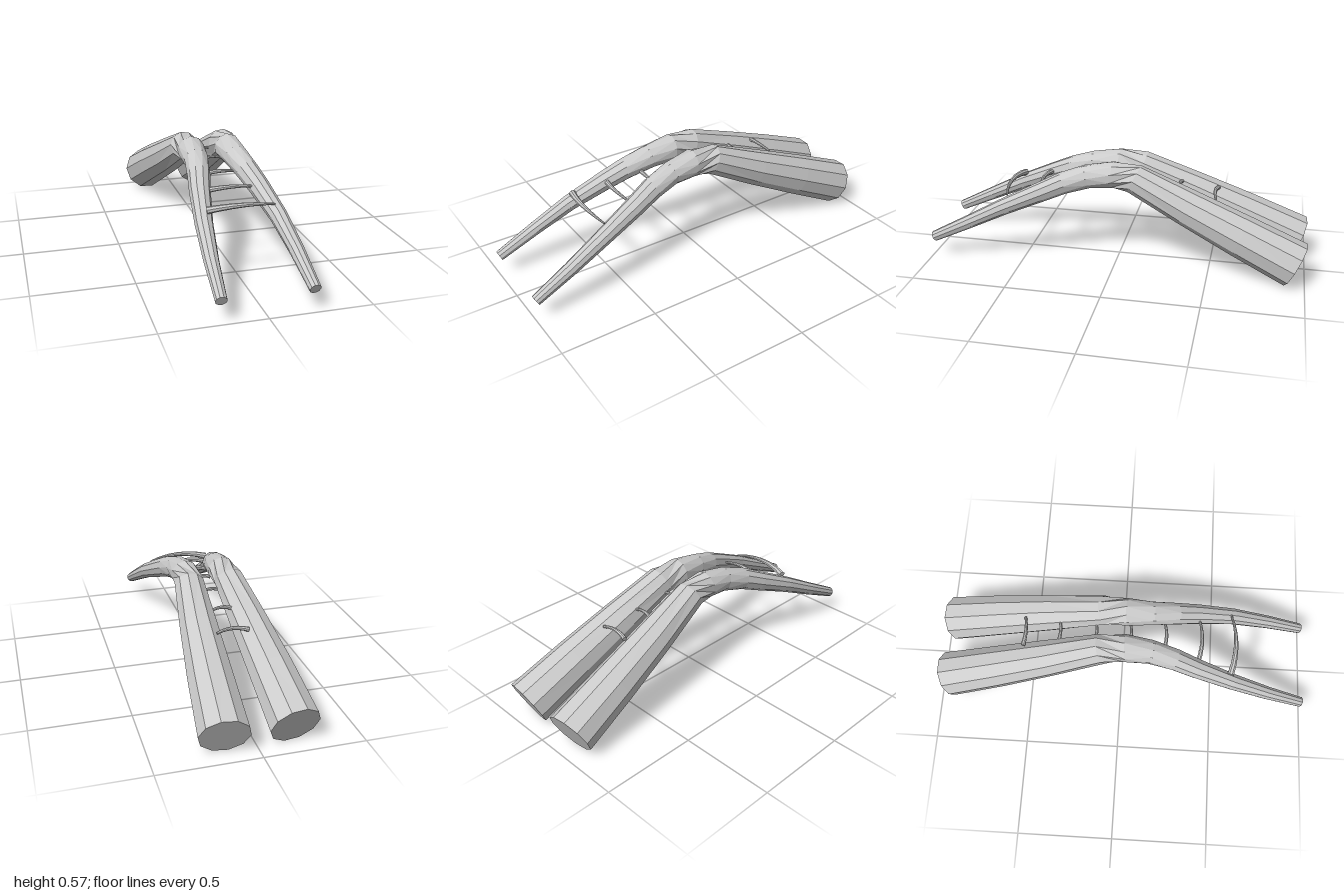
import * as THREE from 'three';

const grey = new THREE.MeshStandardMaterial({ color: 0xcccccc, flatShading: true });

// Skins capped polygon rings: each section is { c: centre, r: radius, spin: degrees, t: optional direction }
function loft(sections, sides, mirrored = false) {
  const pos = [], index = [];
  const up = new THREE.Vector3(0, 1, 0);
  const last = sections.length - 1;
  sections.forEach((s, i) => {
    const t = s.t ? s.t.clone() : sections[Math.min(i + 1, last)].c.clone().sub(sections[Math.max(i - 1, 0)].c);
    t.normalize();
    const u = t.clone().cross(up).normalize();
    const v = u.clone().cross(t);
    for (let j = 0; j < sides; j++) {
      const a = (j / sides) * Math.PI * 2 + THREE.MathUtils.degToRad(s.spin || 0);
      const p = s.c.clone().addScaledVector(u, Math.cos(a) * s.r).addScaledVector(v, Math.sin(a) * s.r);
      pos.push(mirrored ? -p.x : p.x, p.y, p.z);
    }
  });
  const tri = (a, b, c) => (mirrored ? index.push(a, c, b) : index.push(a, b, c));
  for (let i = 0; i < last; i++) {
    for (let j = 0; j < sides; j++) {
      const k = (j + 1) % sides;
      const a = i * sides + j, b = i * sides + k, c = a + sides, d = b + sides;
      tri(a, c, b);
      tri(b, c, d);
    }
  }
  // end caps
  for (let j = 1; j < sides - 1; j++) {
    tri(0, j, j + 1);
    const e = last * sides;
    tri(e, e + j + 1, e + j);
  }
  const g = new THREE.BufferGeometry();
  g.setAttribute('position', new THREE.Float32BufferAttribute(pos, 3));
  g.setIndex(index);
  const flat = g.toNonIndexed();
  flat.computeVertexNormals();
  return flat;
}

const V = (x, y, z) => new THREE.Vector3(x, y, z);

// One bent rail from slim front tip, over the twisted knee, to the thick rear end
function railSections() {
  const front = V(0, -0.1, -1);
  const rear = V(0.08, -0.43, -0.9);
  return [
    { c: V(0.217, 0.114, 0.988), r: 0.028 },
    { c: V(0.206, 0.212, 0.79), r: 0.036 },
    { c: V(0.186, 0.312, 0.59), r: 0.044 },
    { c: V(0.152, 0.4, 0.39), r: 0.053 },
    { c: V(0.128, 0.448, 0.28), r: 0.058 },
    { c: V(0.107, 0.488, 0.15), r: 0.063, spin: 8 },
    { c: V(0.1, 0.505, 0.02), r: 0.072, spin: 18, t: front },
    { c: V(0.107, 0.494, -0.1), r: 0.078, spin: 82, t: rear },
    { c: V(0.129, 0.367, -0.38), r: 0.097, spin: 77 },
    { c: V(0.15, 0.242, -0.66), r: 0.112, spin: 77 },
    { c: V(0.167, 0.113, -0.948), r: 0.123, spin: 77, t: rear },
  ];
}

// Tapered rung, bowed up and forward in the middle
function rung(z, halfWidth, yEnd, rise, bow, r0, r1) {
  const sections = [];
  for (let i = 0; i <= 6; i++) {
    const k = (i / 6) * 2 - 1;
    const arch = 1 - k * k;
    sections.push({
      c: V(k * halfWidth, yEnd + rise * arch, z + bow * arch),
      r: THREE.MathUtils.lerp(r0, r1, i / 6),
      spin: 22,
    });
  }
  return loft(sections, 8);
}

export function createModel() {
  const model = new THREE.Group();
  const add = (name, geometry) => {
    const mesh = new THREE.Mesh(geometry, grey);
    mesh.name = name;
    model.add(mesh);
  };

  add('leftRail', loft(railSections(), 10));
  add('rightRail', loft(railSections(), 10, true));

  // z, half width, end height, rise, forward bow, radius at right and left end
  const rungs = [
    [0.575, 0.168, 0.373, 0.019, 0.025, 0.018, 0.005],
    [0.4, 0.12, 0.409, 0.014, 0.018, 0.014, 0.006],
    [0.22, 0.07, 0.436, 0.009, 0.01, 0.012, 0.007],
    [0.04, 0.045, 0.461, 0.007, 0.006, 0.01, 0.007],
    [-0.14, 0.045, 0.461, 0.006, 0.006, 0.01, 0.007],
    [-0.33, 0.05, 0.437, 0.008, 0.006, 0.01, 0.007],
    [-0.52, 0.08, 0.404, 0.012, 0.01, 0.012, 0.007],
  ];
  rungs.forEach((p, i) => add('rung' + (i + 1), rung(...p)));
  return model;
}
